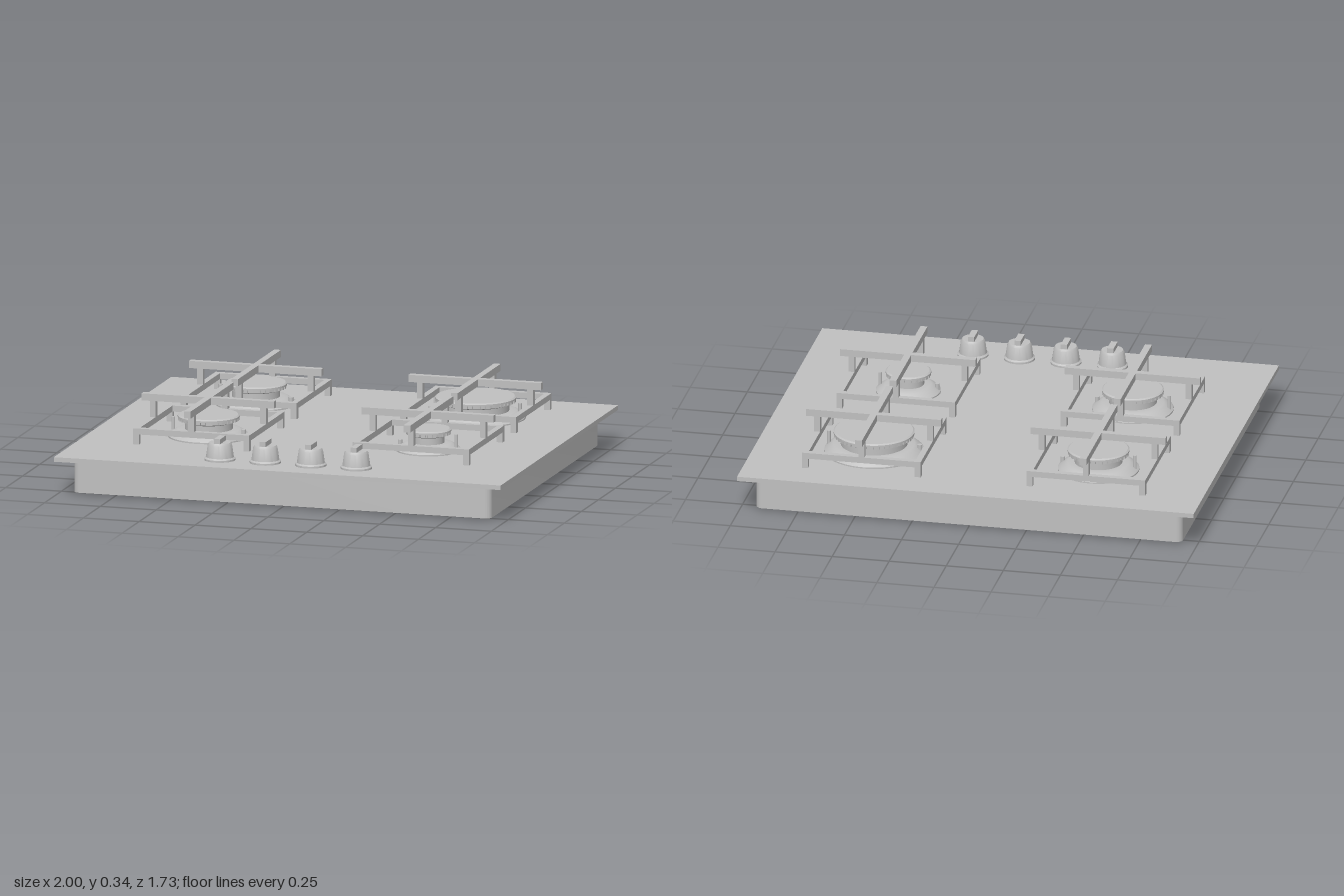
import * as THREE from 'three';
import { toCreasedNormals } from 'three/addons/utils/BufferGeometryUtils.js';

const grey = new THREE.MeshStandardMaterial({ color: 0xc0c0c0 });
grey.name = 'grey';

const TOP = 0.172; // height of the worktop plate surface

function add(parent, name, geometry, x = 0, y = 0, z = 0) {
  const mesh = new THREE.Mesh(geometry, grey);
  mesh.name = name;
  mesh.position.set(x, y, z);
  parent.add(mesh);
  return mesh;
}

// Box given by its bottom height and top height
function bar(parent, name, w, y0, y1, d, x = 0, z = 0) {
  return add(parent, name, new THREE.BoxGeometry(w, y1 - y0, d), x, (y0 + y1) / 2, z);
}

function lathe(profile, segments = 48) {
  const points = profile.map(([r, y]) => new THREE.Vector2(r, y));
  return toCreasedNormals(new THREE.LatheGeometry(points, segments), 0.5);
}

// Slab with rounded vertical corners
function roundedSlab(w, h, d, r) {
  const s = new THREE.Shape();
  const x = w / 2, y = d / 2;
  s.moveTo(-x + r, -y);
  s.lineTo(x - r, -y);
  s.absarc(x - r, -y + r, r, -Math.PI / 2, 0);
  s.absarc(x - r, y - r, r, 0, Math.PI / 2);
  s.absarc(-x + r, y - r, r, Math.PI / 2, Math.PI);
  s.absarc(-x + r, -y + r, r, Math.PI, Math.PI * 1.5);
  const g = new THREE.ExtrudeGeometry(s, { depth: h, bevelEnabled: false, curveSegments: 8 });
  g.rotateX(-Math.PI / 2);
  return toCreasedNormals(g, 0.6);
}

// Pan support: square frame, four legs, four posts and a raised cross
function makeGrate() {
  const g = new THREE.Group();
  g.name = 'panSupport';
  const half = 0.26, t = 0.026, c = half - t / 2;
  const shape = new THREE.Shape();
  shape.moveTo(-half, -half).lineTo(half, -half).lineTo(half, half).lineTo(-half, half);
  const i = half - t;
  const hole = new THREE.Path();
  hole.moveTo(-i, -i).lineTo(-i, i).lineTo(i, i).lineTo(i, -i);
  shape.holes.push(hole);
  const frame = new THREE.ExtrudeGeometry(shape, { depth: 0.026, bevelEnabled: false });
  frame.rotateX(-Math.PI / 2);
  add(g, 'grateFrame', frame, 0, 0.216, 0);
  for (const sx of [-1, 1]) {
    for (const sz of [-1, 1]) bar(g, 'grateLeg', t, TOP, 0.216, t, sx * c, sz * c);
    bar(g, 'gratePost', t, 0.216, 0.312, t, sx * c, 0);
    bar(g, 'gratePost', t, 0.216, 0.312, t, 0, sx * c);
  }
  bar(g, 'crossBarWide', 0.592, 0.312, 0.343, 0.03);
  bar(g, 'crossBarDeep', 0.03, 0.312, 0.343, 0.632);
  return g;
}

// Burner: flared base, narrow neck, toothed flame ring and cap
function makeBurner(outer, cap, side) {
  const g = new THREE.Group();
  g.name = 'burner';
  const neck = cap - 0.03;
  add(g, 'burnerBase', lathe([
    [outer, TOP], [outer, 0.178], [outer - 0.012, 0.188], [cap + 0.012, 0.2],
    [cap, 0.206], [neck, 0.206],
  ]));
  add(g, 'burnerNeck', lathe([[neck, 0.2], [neck, 0.235], [cap - 0.01, 0.242], [cap - 0.01, 0.258]]));
  const teeth = Math.round(cap * 260);
  const tooth = new THREE.BoxGeometry(0.014, 0.012, 0.014);
  for (let i = 0; i < teeth; i++) {
    const a = (i / teeth) * Math.PI * 2;
    const m = add(g, 'flameTooth', tooth, Math.cos(a) * (cap - 0.009), 0.25, Math.sin(a) * (cap - 0.009));
    m.rotation.y = -a;
  }
  add(g, 'burnerCap', lathe([
    [cap - 0.012, 0.255], [cap, 0.256], [cap, 0.263], [cap - 0.007, 0.268], [0, 0.268],
  ]));
  // Igniter pin and its short partner on the opposite side
  const r = outer - 0.016;
  add(g, 'igniterPin', new THREE.CylinderGeometry(0.008, 0.008, 0.075, 16), side * r, TOP + 0.0375, 0);
  add(g, 'sensorPin', new THREE.CylinderGeometry(0.01, 0.01, 0.04, 16), -side * r, TOP + 0.02, 0.01);
  return g;
}

// Control knob with a raised grip
function makeKnob() {
  const g = new THREE.Group();
  g.name = 'knob';
  add(g, 'knobBody', lathe([
    [0.067, TOP], [0.067, 0.18], [0.06, 0.186], [0.052, 0.24], [0.046, 0.249], [0, 0.249],
  ], 40));
  bar(g, 'knobGrip', 0.028, 0.245, 0.27, 0.082);
  return g;
}

export function createModel() {
  const model = new THREE.Group();
  model.name = 'gasHob';

  // Housing, seal, worktop plate and feet
  add(model, 'housing', roundedSlab(1.868, 0.134, 1.6, 0.03), 0, 0.009, 0);
  add(model, 'seal', roundedSlab(1.85, 0.01, 1.585, 0.03), 0, 0.143, 0);
  bar(model, 'worktop', 2, 0.152, TOP, 1.726);
  for (const sx of [-1, 1]) {
    for (const sz of [-1, 1]) {
      add(model, 'foot', new THREE.CylinderGeometry(0.012, 0.012, 0.01, 16), sx * 0.876, 0.005, sz * 0.732);
    }
  }

  // Four cooking zones: x, z, base radius, cap radius
  const zones = [
    [-0.493, -0.445, 0.175, 0.133],
    [0.49, -0.445, 0.214, 0.174],
    [-0.493, 0.25, 0.175, 0.133],
    [0.49, 0.25, 0.14, 0.098],
  ];
  for (const [x, z, outer, cap] of zones) {
    const zone = new THREE.Group();
    zone.name = 'cookingZone';
    zone.position.set(x, 0, z);
    zone.add(makeGrate(), makeBurner(outer, cap, Math.sign(x)));
    model.add(zone);
  }

  // Row of knobs
  for (let i = 0; i < 4; i++) {
    const knob = makeKnob();
    knob.position.set(-0.305 + i * 0.2035, 0, 0.704);
    model.add(knob);
  }
  return model;
}
